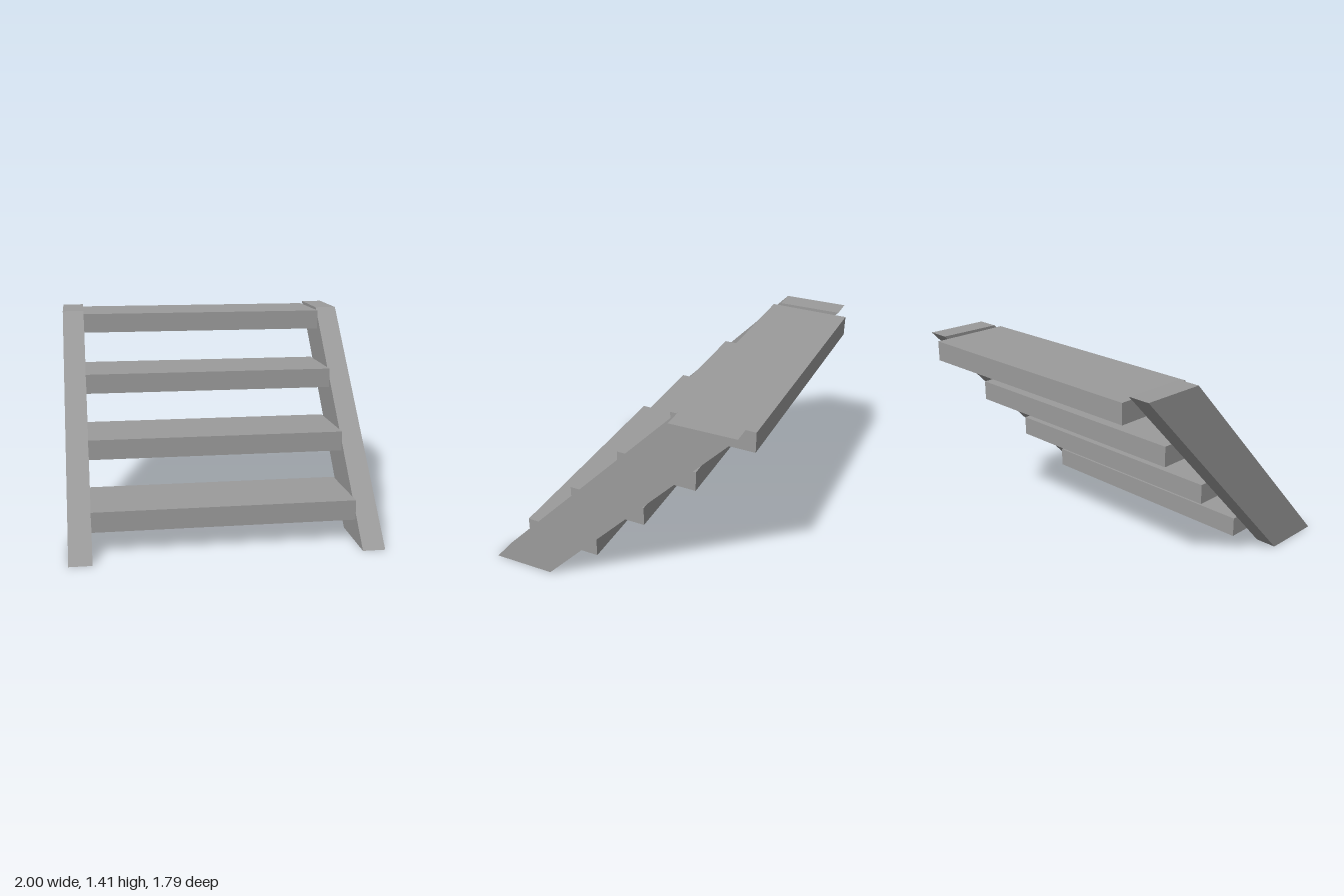
import * as THREE from 'three';

export function createModel() {
  const group = new THREE.Group();
  const material = new THREE.MeshStandardMaterial({ color: 0x9b9b9b, flatShading: true });

  // Sloping side boards: parallelogram profile (z, y) extruded across x
  const thickness = 0.147;
  const profile = new THREE.Shape([
    new THREE.Vector2(0.893, 0),
    new THREE.Vector2(0.47, 0.005),
    new THREE.Vector2(-0.842, 1.413),
    new THREE.Vector2(-0.42, 1.408),
  ]);
  const boardGeometry = new THREE.ExtrudeGeometry(profile, { depth: thickness, bevelEnabled: false });
  boardGeometry.rotateY(-Math.PI / 2).translate(thickness / 2, 0, 0);
  for (const [name, side] of [['leftStringer', 1], ['rightStringer', -1]]) {
    const board = new THREE.Mesh(boardGeometry, material);
    board.name = name;
    board.position.x = side * (1 - thickness / 2);
    group.add(board);
  }

  // Four treads between the boards, each with its own setback
  const treadGeometry = new THREE.BoxGeometry(1.708, 0.132, 0.53);
  [0.447, 0.088, -0.266, -0.63].forEach((z, i) => {
    const tread = new THREE.Mesh(treadGeometry, material);
    tread.name = `tread${i + 1}`;
    tread.position.set(0, 0.212 + i * 0.371, z);
    group.add(tread);
  });

  return group;
}
